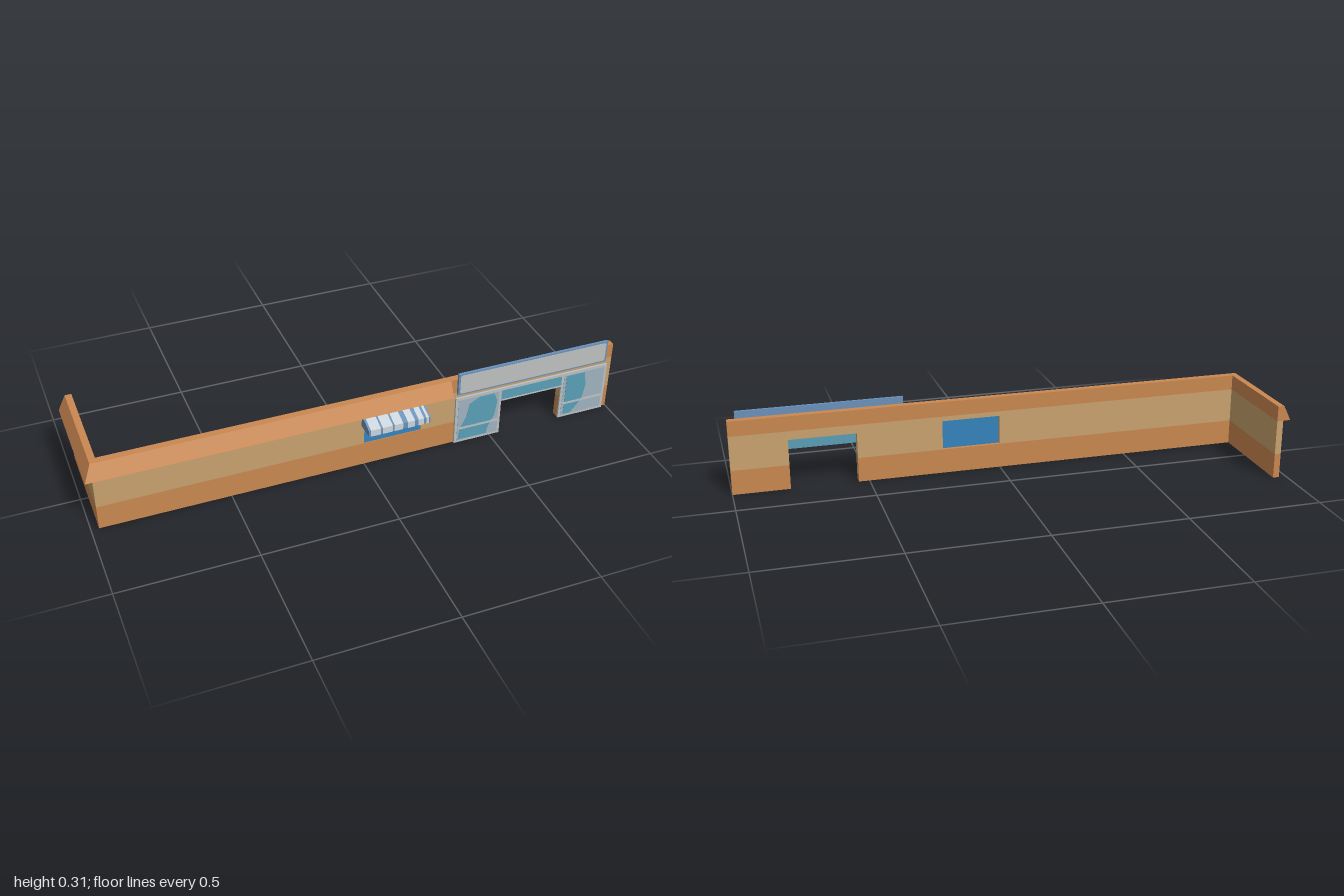
import * as THREE from 'three';

const mat = (name, color, side = THREE.FrontSide) => {
  const m = new THREE.MeshStandardMaterial({ color, side });
  m.name = name;
  return m;
};

export function createModel() {
  const orange = mat('orange plaster', 0xca8850);
  const tan = mat('tan plaster', 0xc9a26e);
  const paneBlue = mat('window blue', 0x3484be);
  const trimBlue = mat('trim blue', 0x6a92bc);
  const signGrey = mat('sign grey', 0xbfc0c0);
  const frameGrey = mat('frame grey', 0xbcc0c3);
  const paleGlass = mat('pale glass', 0x9fb3bf);
  const teal = mat('teal glass', 0x5a9fb7);
  const stripeLight = mat('awning light', 0xccd5dc);

  const model = new THREE.Group();
  model.name = 'shopWall';
  const group = (name) => {
    const g = new THREE.Group();
    g.name = name;
    model.add(g);
    return g;
  };
  const add = (parent, name, geometry, material) => {
    const mesh = new THREE.Mesh(geometry, material);
    mesh.name = name;
    parent.add(mesh);
    return mesh;
  };
  // Box given by its limits on each axis
  const box = (parent, name, material, x0, x1, y0, y1, z0, z1) => {
    const g = new THREE.BoxGeometry(x1 - x0, y1 - y0, z1 - z0);
    g.translate((x0 + x1) / 2, (y0 + y1) / 2, (z0 + z1) / 2);
    return add(parent, name, g, material);
  };
  // Profile of [z, y] points swept along x
  const sweepX = (parent, name, material, points, x0, x1) => {
    const shape = new THREE.Shape(points.map(([z, y]) => new THREE.Vector2(z, y)));
    const g = new THREE.ExtrudeGeometry(shape, { depth: x1 - x0, bevelEnabled: false });
    g.rotateY(-Math.PI / 2).translate(x1, 0, 0);
    return add(parent, name, g, material);
  };
  // Thin plate facing the front
  const plate = (parent, name, material, shape, z, depth) => {
    const g = new THREE.ExtrudeGeometry(shape, { depth, bevelEnabled: false, curveSegments: 6 });
    return add(parent, name, g.translate(0, 0, z), material);
  };

  const WALL_BACK = 0.146, WALL_FRONT = 0.173, WALL_LEFT = -0.972, BACK_END = -0.242;

  // Banded walls; the long one is cut into columns around the openings
  const walls = group('walls');
  const bands = [[0, 0.093, orange], [0.093, 0.223, tan], [0.223, 0.28, orange]];
  const columns = [
    [WALL_LEFT, 0], [0, 0.22, 0.093, 0.205], [0.22, 0.54],
    [0.54, 0.79, 0, 0.19], [0.79, 1],
  ];
  for (const [y0, y1, material] of bands) {
    for (const [x0, x1, open0 = 1, open1 = 1] of columns) {
      const below = Math.min(y1, open0), above = Math.max(y0, open1);
      if (below > y0) box(walls, 'frontWall', material, x0, x1, y0, below, WALL_BACK, WALL_FRONT);
      if (above < y1) box(walls, 'frontWall', material, x0, x1, above, y1, WALL_BACK, WALL_FRONT);
    }
    box(walls, 'sideWall', material, WALL_LEFT, -0.948, y0, y1, BACK_END, WALL_BACK);
  }

  // Sloping cornice, mitred around the corner
  const profile = [[0, 0.28], [0.028, 0.223], [0, 0.223]];
  const stations = [
    (o, y) => [0.335, y, WALL_FRONT + o],
    (o, y) => [WALL_LEFT - o, y, WALL_FRONT + o],
    (o, y) => [WALL_LEFT - o, y, BACK_END],
  ].map((at) => profile.map(([o, y]) => at(o, y)));
  const verts = [];
  const tri = (...corners) => corners.forEach((c) => verts.push(...c));
  for (let s = 0; s < 2; s++) {
    const a = stations[s], b = stations[s + 1];
    for (let i = 0; i < 3; i++) {
      const j = (i + 1) % 3;
      tri(a[i], b[j], a[j]);
      tri(a[i], b[i], b[j]);
    }
  }
  const end = stations[2];
  tri(...stations[0]);
  tri(end[0], end[2], end[1]);
  const corniceGeo = new THREE.BufferGeometry();
  corniceGeo.setAttribute('position', new THREE.Float32BufferAttribute(verts, 3));
  corniceGeo.computeVertexNormals();
  add(model, 'cornice', corniceGeo, orange);

  // Service window and its striped awning
  const hatch = group('serviceWindow');
  box(hatch, 'windowPane', paneBlue, 0, 0.22, 0.093, 0.205, 0.16, 0.17);
  sweepX(hatch, 'awningBody', trimBlue,
    [[0.172, 0.173], [0.241, 0.173], [0.241, 0.197], [0.172, 0.22]], -0.01, 0.226);
  const skin = [[0.173, 0.22], [0.241, 0.197], [0.241, 0.173], [0.243, 0.173], [0.243, 0.199], [0.173, 0.222]];
  const stripes = [[-0.003, 0.035], [0.042, 0.08], [0.087, 0.12], [0.138, 0.165], [0.179, 0.2], [0.209, 0.219]];
  for (const [x0, x1] of stripes) sweepX(hatch, 'awningStripe', stripeLight, skin, x0, x1);

  // Sign board: blue box with a rounded grey face
  const sign = group('signBoard');
  box(sign, 'signBox', trimBlue, 0.36, 0.97, 0.216, 0.306, WALL_FRONT, 0.183);
  const face = new THREE.Shape();
  const l = 0.367, r = 0.963, b = 0.222, t = 0.3, c = 0.01;
  face.moveTo(l + c, b).lineTo(r - c, b).quadraticCurveTo(r, b, r, b + c);
  face.lineTo(r, t - c).quadraticCurveTo(r, t, r - c, t);
  face.lineTo(l + c, t).quadraticCurveTo(l, t, l, t - c);
  face.lineTo(l, b + c).quadraticCurveTo(l, b, l + c, b);
  plate(sign, 'signFace', signGrey, face, 0.183, 0.001);

  // Shop front: two glazed piers joined by a glass lintel over the doorway
  const shop = group('shopFront');
  const tealShapes = [
    [[0.37, 0.013], [0.375, 0.06], [0.4, 0.11], [0.41, 0.165], [0.45, 0.187], [0.51, 0.187],
      [0.523, 0.15], [0.515, 0.09], [0.49, 0.04], [0.485, 0.013]],
    [[0.81, 0.013], [0.81, 0.187], [0.885, 0.187], [0.895, 0.13], [0.885, 0.07], [0.86, 0.035], [0.84, 0.013]],
  ];
  [[0.355, 0.54], [0.79, 0.98]].forEach(([x0, x1], i) => {
    box(shop, 'pierFrame', frameGrey, x0, x1, 0, 0.2, WALL_FRONT, 0.181);
    box(shop, 'pierGlass', paleGlass, x0 + 0.01, x1 - 0.01, 0.01, 0.19, 0.181, 0.182);
    const blob = new THREE.Shape(tealShapes[i].map(([x, y]) => new THREE.Vector2(x, y)));
    plate(shop, 'glassReflection', teal, blob, 0.182, 0.001);
    box(shop, 'glazingBar', frameGrey, x0 + 0.01, x1 - 0.01, 0.059, 0.068, 0.182, 0.184);
  });
  box(shop, 'topRail', frameGrey, 0.54, 0.79, 0.19, 0.2, WALL_FRONT, 0.181);
  box(shop, 'lintelGlass', teal, 0.54, 0.79, 0.145, 0.19, WALL_FRONT, 0.181);
  box(shop, 'lintelBar', frameGrey, 0.54, 0.79, 0.145, 0.15, 0.181, 0.183);

  return model;
}
